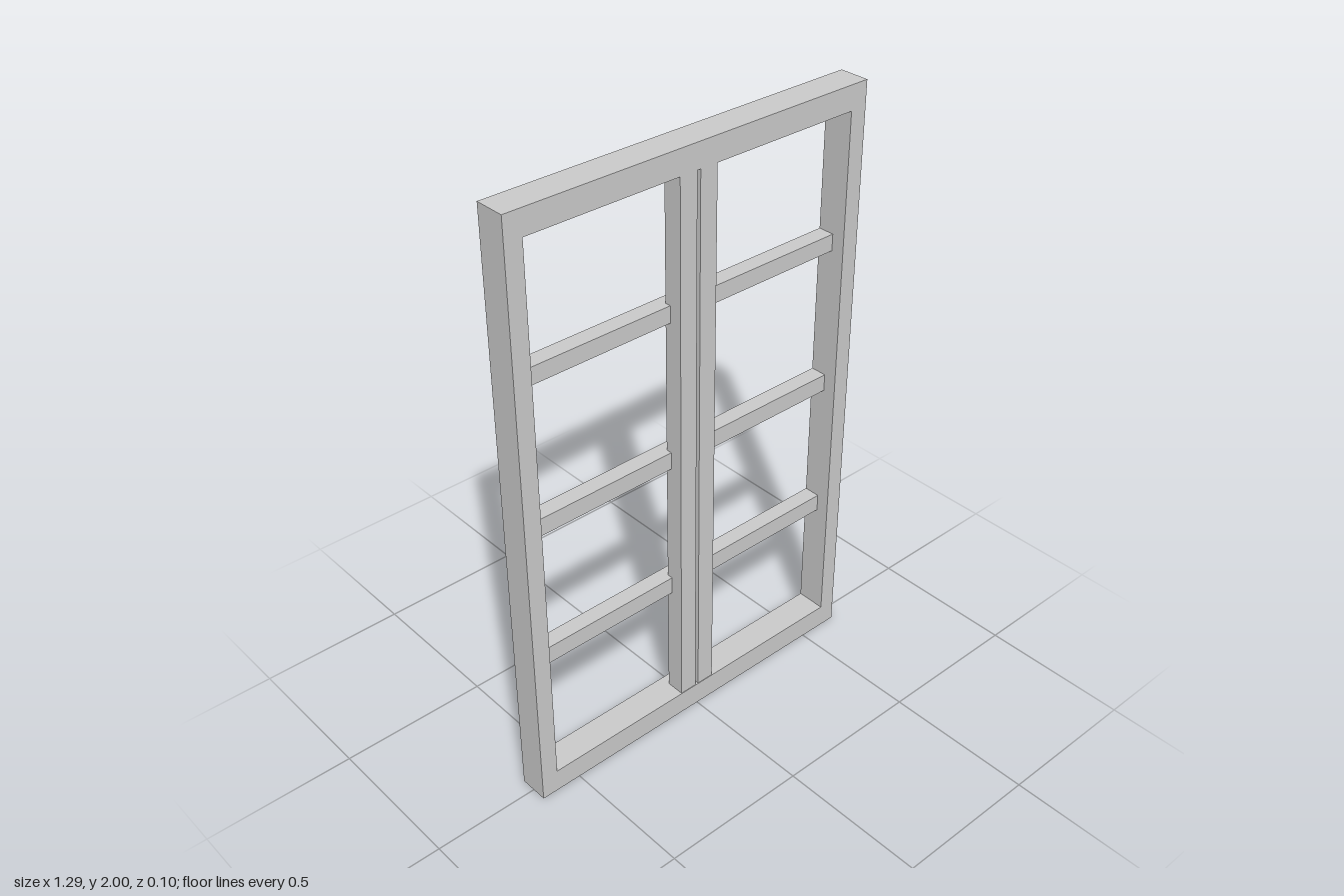
import * as THREE from 'three';

const material = new THREE.MeshStandardMaterial({ color: 0xcccccc, side: THREE.DoubleSide, flatShading: true });

const FRONT = 0.05, BACK = -0.05;      // depth of the frame
const HALF_W = 0.643, HEIGHT = 2;      // outer frame
const OPEN_W = 0.585, OPEN_Y = 0.08;   // opening: half width and bottom edge

function addPanel(group, name, w, h, x, y, z, rx = 0, ry = 0) {
  const mesh = new THREE.Mesh(new THREE.PlaneGeometry(w, h), material);
  mesh.name = name;
  mesh.position.set(x, y, z);
  mesh.rotation.set(rx, ry, 0);
  group.add(mesh);
}

// Horizontal sheet at height y, and upright sheet at side x, between two depths
function addShelf(group, name, x0, x1, y, z0, z1) {
  addPanel(group, name, x1 - x0, z1 - z0, (x0 + x1) / 2, y, (z0 + z1) / 2, -Math.PI / 2);
}
function addCheek(group, name, x, y0, y1, z0, z1) {
  addPanel(group, name, z1 - z0, y1 - y0, x, (y0 + y1) / 2, (z0 + z1) / 2, 0, Math.PI / 2);
}

function rectangle(PathType, x, y0, y1) {
  const path = new PathType();
  path.moveTo(-x, y0).lineTo(x, y0).lineTo(x, y1).lineTo(-x, y1).closePath();
  return path;
}

// Outer frame: front face with inner and outer walls, open at the back
function createFrame() {
  const frame = new THREE.Group();
  frame.name = 'outerFrame';
  const shape = rectangle(THREE.Shape, HALF_W, 0, HEIGHT);
  shape.holes.push(rectangle(THREE.Path, OPEN_W, OPEN_Y, HEIGHT - OPEN_Y));
  const face = new THREE.Mesh(new THREE.ShapeGeometry(shape), material);
  face.name = 'frameFace';
  face.position.z = FRONT;
  frame.add(face);
  for (const [name, x, y] of [['outerWall', HALF_W, 0], ['innerWall', OPEN_W, OPEN_Y]]) {
    for (const side of [-1, 1]) addCheek(frame, name, side * x, y, HEIGHT - y, BACK, FRONT);
    for (const level of [y, HEIGHT - y]) addShelf(frame, name, -x, x, level, BACK, FRONT);
  }
  return frame;
}

// Meeting stile: upright channel open at the back
function createStile(name, x0, x1) {
  const stile = new THREE.Group();
  stile.name = name;
  const y0 = OPEN_Y, y1 = HEIGHT - OPEN_Y;
  const front = FRONT - 0.002, back = -0.015;
  addPanel(stile, 'stileFace', x1 - x0, y1 - y0, (x0 + x1) / 2, (y0 + y1) / 2, front);
  for (const x of [x0, x1]) addCheek(stile, 'stileWall', x, y0, y1, back, front);
  return stile;
}

// Glazing bar: horizontal channel open at the back, running behind the stiles
function createBar(y0, y1) {
  const bar = new THREE.Group();
  bar.name = 'glazingBar';
  const front = 0.005;
  addPanel(bar, 'barFace', 2 * OPEN_W, y1 - y0, 0, (y0 + y1) / 2, front);
  for (const y of [y0, y1]) addShelf(bar, 'barWall', -OPEN_W, OPEN_W, y, BACK, front);
  return bar;
}

export function createModel() {
  const model = new THREE.Group();
  model.name = 'window';
  model.add(createFrame());
  model.add(createStile('rightStile', -0.067, -0.006));
  model.add(createStile('leftStile', 0.006, 0.067));
  for (const [y0, y1] of [[0.48, 0.54], [0.957, 1.016], [1.458, 1.514]]) model.add(createBar(y0, y1));
  return model;
}
